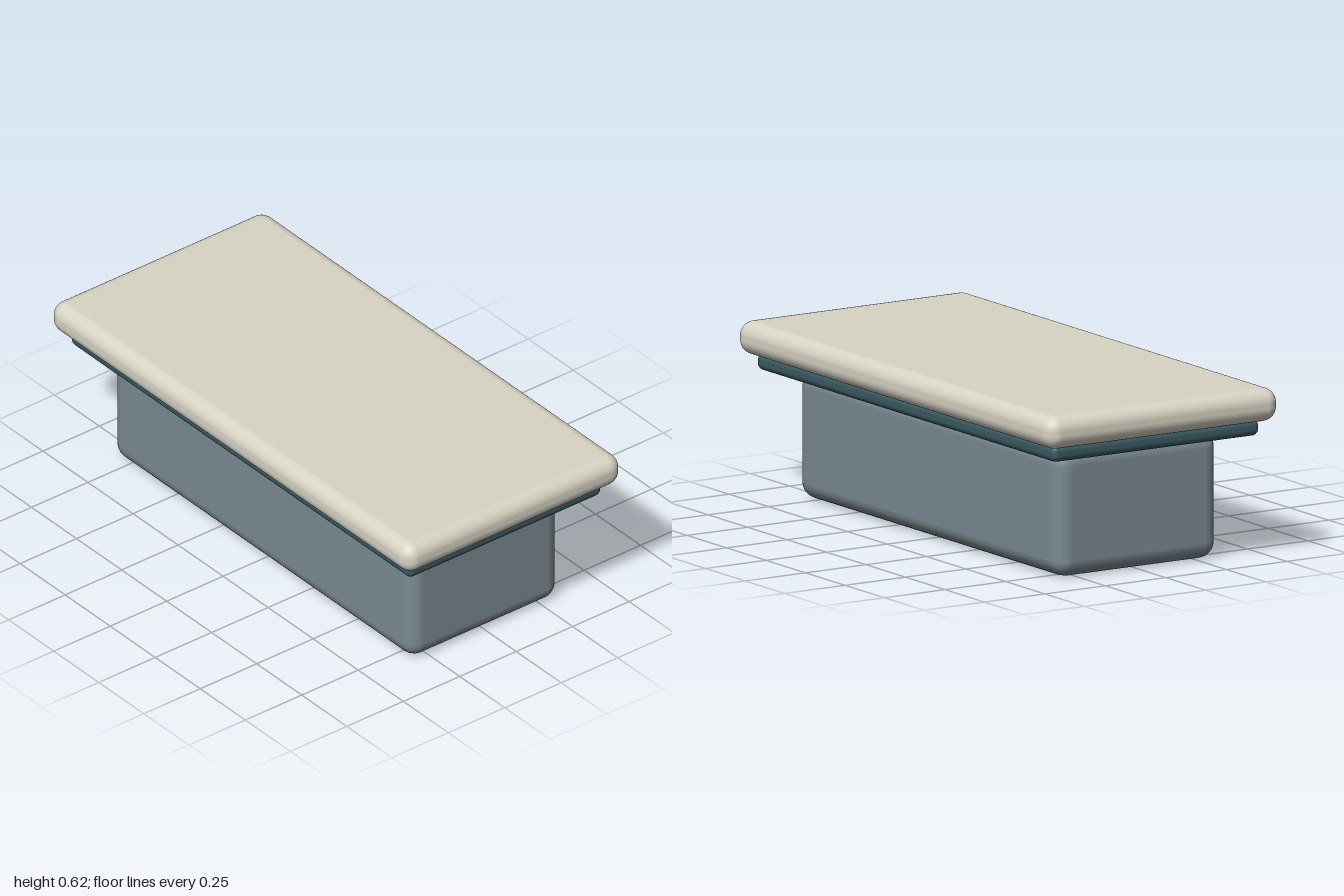
import * as THREE from 'three';
import { RoundedBoxGeometry } from 'three/addons/geometries/RoundedBoxGeometry.js';

export function createModel() {
  const group = new THREE.Group();

  // Rounded slab spanning y0..y1, centred on x and z
  function slab(name, width, depth, y0, y1, radius, segments, color) {
    const geometry = new RoundedBoxGeometry(width, y1 - y0, depth, segments, radius);
    const mesh = new THREE.Mesh(geometry, new THREE.MeshStandardMaterial({ color }));
    mesh.name = name;
    mesh.position.y = (y0 + y1) / 2;
    group.add(mesh);
  }

  // Base cabinet, its top edge sunk slightly into the trim
  slab('base', 1.67, 0.666, 0, 0.455, 0.06, 3, 0x7b8a92);
  // Dark trim under the top
  slab('trim', 1.89, 0.856, 0.443, 0.502, 0.024, 3, 0x3a5a62);
  // Pale countertop
  slab('countertop', 2, 0.958, 0.497, 0.615, 0.052, 4, 0xd8d4c4);

  return group;
}
